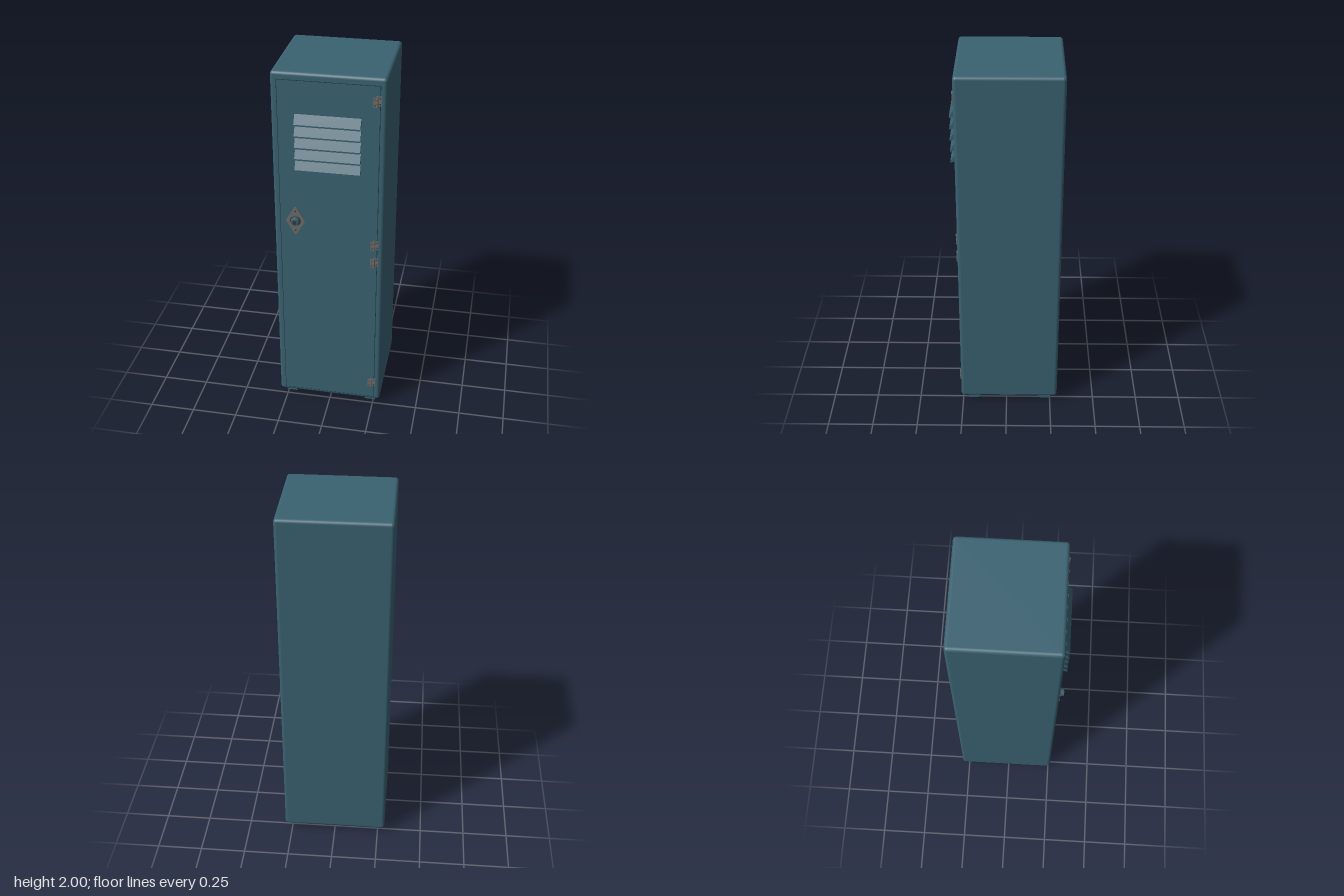
import * as THREE from 'three';
import { RoundedBoxGeometry } from 'three/addons/geometries/RoundedBoxGeometry.js';

const paint = (name, color) => new THREE.MeshStandardMaterial({ name, color });

export function createModel() {
  const teal = paint('teal paint', 0x3a6271);
  const gap = paint('dark gap', 0x1f363f);
  const metal = paint('grey metal', 0x6e6c69);
  const dark = paint('dark metal', 0x35383a);
  const model = new THREE.Group();
  model.name = 'locker';
  const FRONT = 0.26;

  function add(parent, name, geometry, material, x = 0, y = 0, z = 0) {
    const mesh = new THREE.Mesh(geometry, material);
    mesh.name = name;
    mesh.position.set(x, y, z);
    parent.add(mesh);
    return mesh;
  }

  // Extrudes a side outline of [z, y] points along x, centred on x = 0
  function sideExtrude(points, width) {
    const shape = new THREE.Shape(points.map(([z, y]) => new THREE.Vector2(z, y)));
    return new THREE.ExtrudeGeometry(shape, { depth: width, bevelEnabled: false })
      .translate(0, 0, -width / 2).rotateY(-Math.PI / 2);
  }

  // Cabinet body
  add(model, 'cabinet', new RoundedBoxGeometry(0.58, 1.965, 0.55, 4, 0.018), teal, 0, 1.0175, -0.015);

  // Door with a thin gap around it
  add(model, 'doorGap', new THREE.BoxGeometry(0.518, 1.908, 0.004), gap, 0, 1.008, FRONT - 0.0015);
  add(model, 'door', new THREE.BoxGeometry(0.512, 1.902, 0.006), teal, 0, 1.008, FRONT - 0.0015);

  // Sloping vent louvres
  const louvre = sideExtrude([[0, 0.029], [0, -0.018], [0.03, -0.028], [0.03, -0.02]], 0.335);
  for (let i = 0; i < 5; i++) {
    add(model, 'louvre', louvre, teal, -0.002, 1.759 - i * 0.0625, FRONT);
  }

  // Lock: diamond plate, collar, tapered knob and keyhole
  const lock = new THREE.Group();
  lock.name = 'lock';
  lock.position.set(-0.176, 1.18, FRONT);
  model.add(lock);
  const diamond = new THREE.Shape();
  diamond.moveTo(0.008, 0.075);
  for (const [cx, cy, x, y] of [
    [0, 0.085, -0.008, 0.075], [-0.03, 0.035, -0.047, 0.008], [-0.053, 0, -0.047, -0.008],
    [-0.03, -0.035, -0.008, -0.075], [0, -0.085, 0.008, -0.075], [0.03, -0.035, 0.047, -0.008],
    [0.053, 0, 0.047, 0.008], [0.03, 0.035, 0.008, 0.075],
  ]) diamond.quadraticCurveTo(cx, cy, x, y);
  add(lock, 'lockPlate', new THREE.ExtrudeGeometry(diamond, { depth: 0.007, bevelEnabled: false, curveSegments: 5 }), metal);
  const disc = (front, back, depth) => new THREE.CylinderGeometry(front, back, depth, 28).rotateX(Math.PI / 2);
  add(lock, 'lockCollar', disc(0.027, 0.029, 0.004), dark, 0, 0, 0.008);
  add(lock, 'lockKnob', disc(0.019, 0.024, 0.02), teal, 0, 0, 0.019);
  add(lock, 'knobFace', disc(0.012, 0.012, 0.002), dark, 0, 0, 0.0295);
  for (const y of [-0.056, 0.056]) add(lock, 'lockScrew', disc(0.004, 0.005, 0.003), dark, 0, y, 0.008);

  // Hinges: two staggered leaves, barrel and screws
  for (const y of [1.88, 1.07, 0.965, 0.158]) {
    const hinge = new THREE.Group();
    hinge.name = 'hinge';
    hinge.position.set(0.243, y, FRONT);
    model.add(hinge);
    for (const side of [-1, 1]) {
      add(hinge, 'hingeLeaf', new THREE.BoxGeometry(0.02, 0.05, 0.004), metal, side * 0.011, side * 0.004, 0.002);
      for (const sy of [-0.015, 0.015]) {
        add(hinge, 'hingeScrew', disc(0.003, 0.004, 0.002), dark, side * 0.013, side * 0.004 + sy, 0.0045);
      }
    }
    add(hinge, 'hingeBarrel', new THREE.CylinderGeometry(0.005, 0.005, 0.062, 12), metal, 0, 0, 0.003);
    for (const ry of [-0.011, 0.011]) {
      add(hinge, 'barrelJoint', new THREE.CylinderGeometry(0.0055, 0.0055, 0.002, 12), dark, 0, ry, 0.003);
    }
  }

  // Skids with a pad at each end
  const skid = sideExtrude([
    [-0.235, 0.04], [-0.235, 0], [-0.18, 0], [-0.165, 0.018],
    [0.165, 0.018], [0.18, 0], [0.235, 0], [0.235, 0.04],
  ], 0.06);
  for (const side of [-1, 1]) add(model, 'skid', skid, teal, side * 0.23, 0, -0.015);

  return model;
}
